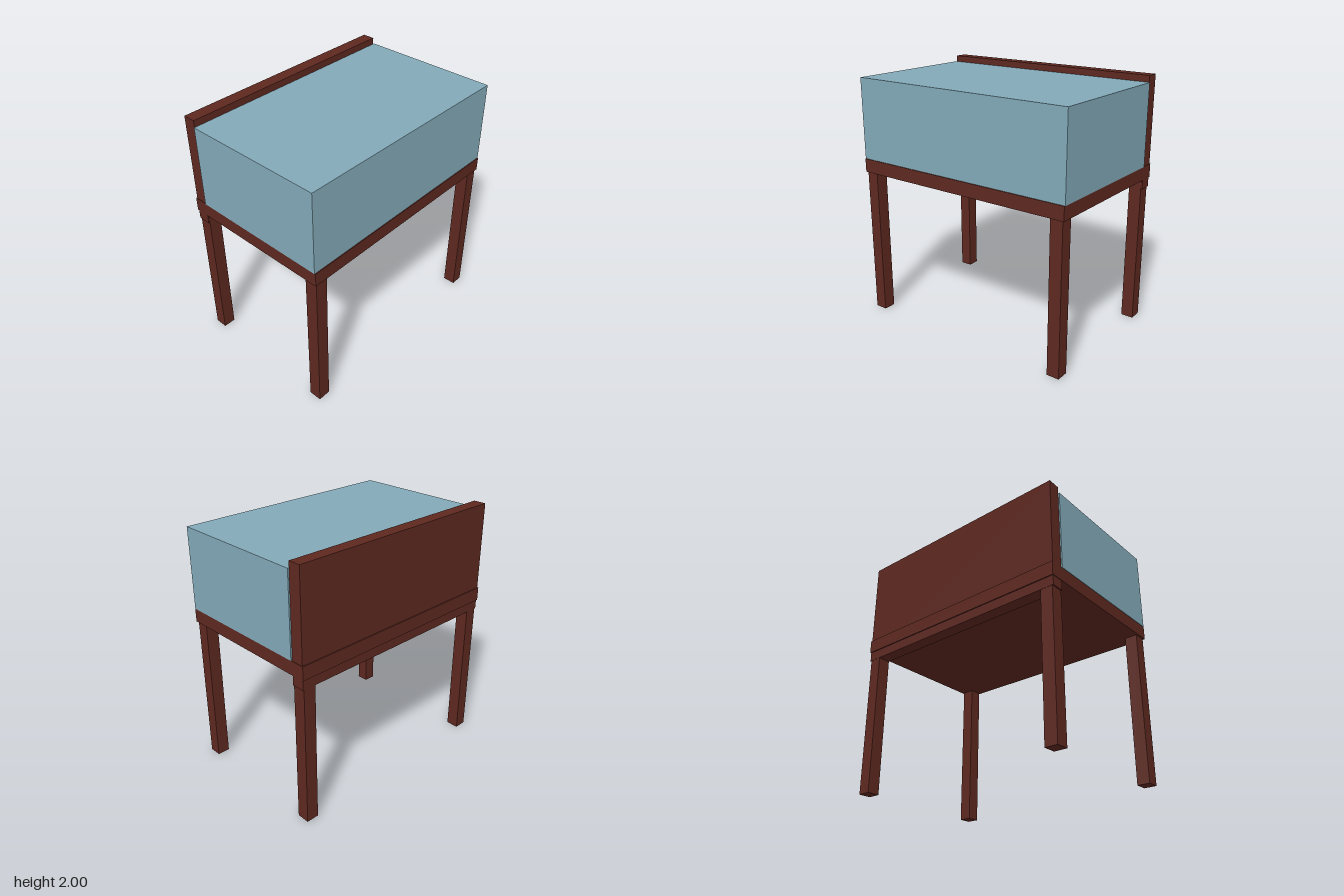
import * as THREE from 'three';

const wood = new THREE.MeshStandardMaterial({ color: 0x5e2820 });
const fabric = new THREE.MeshStandardMaterial({ color: 0x82a9b8 });

// Box given by its limits on each axis
function block(name, material, [x0, x1], [y0, y1], [z0, z1]) {
  const mesh = new THREE.Mesh(new THREE.BoxGeometry(x1 - x0, y1 - y0, z1 - z0), material);
  mesh.position.set((x0 + x1) / 2, (y0 + y1) / 2, (z0 + z1) / 2);
  mesh.name = name;
  return mesh;
}

export function createModel() {
  const group = new THREE.Group();
  group.name = 'cushionedBench';

  // Seat slab, the cushion on it and the board along the right side
  group.add(
    block('seatSlab', wood, [-0.62, 0.62], [1.196, 1.304], [-0.937, 0.937]),
    block('cushion', fabric, [-0.507, 0.613], [1.304, 1.95], [-0.94, 0.94]),
    block('backBoard', wood, [-0.612, -0.512], [1.12, 2], [-0.933, 0.933])
  );

  // Four square legs
  for (const [sx, side] of [[-1, 'Right'], [1, 'Left']]) {
    for (const [sz, end] of [[-1, 'back'], [1, 'front']]) {
      const leg = block(`${end}${side}Leg`, wood, [-0.05, 0.05], [0, 1.2], [-0.05, 0.05]);
      leg.position.x = sx * 0.56;
      leg.position.z = sz * 0.873;
      group.add(leg);
    }
  }
  return group;
}
